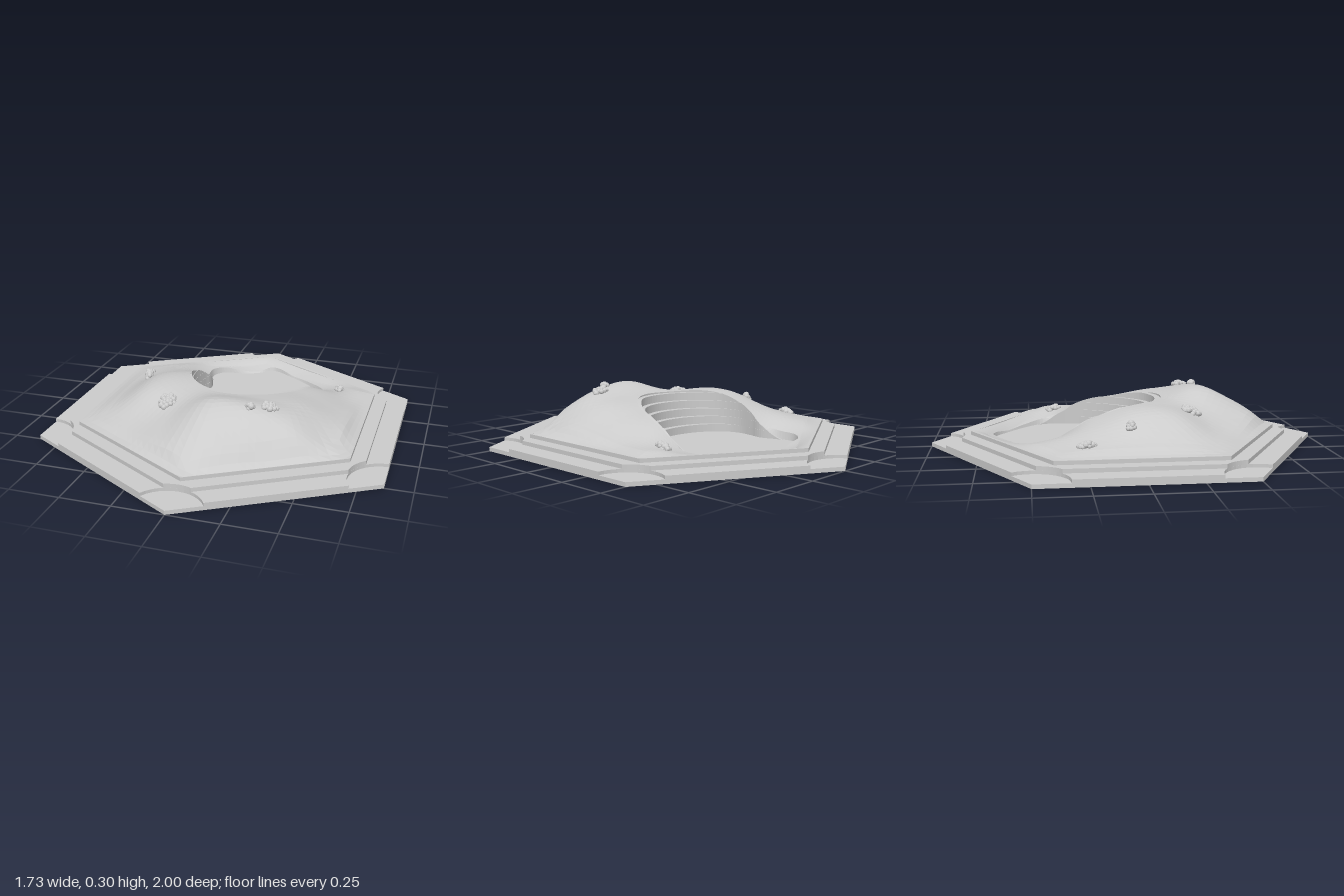
import * as THREE from 'three';

const HEX_R = 0.8, APOTHEM = HEX_R * Math.sqrt(3) / 2;
const GROUND = 0.076, FLOOR = 0.027;
const CENTRE = new THREE.Vector2(0.06, -0.25);
const NORMALS = Array.from({ length: 6 }, (_, k) =>
  new THREE.Vector2(Math.cos(k * Math.PI / 3), Math.sin(k * Math.PI / 3)));

// Hill heights in hundredths, rows z = -0.8..0.8, columns x = -0.8..0.8
const HILLS = [
  [0, 0, 0, 0, 0, 0, 0, 0, 0],
  [0, 0, 0, -2, -5, -4, -0.5, 0, 0],
  [0, 1.2, 3, -2, -5, -5, -1.5, 1.5, 0],
  [0, 2.8, 8, 10, 10, 9, 7.4, 2, 0],
  [0, 3.5, 14, 15.7, 14, 13, 11, 4.5, 0],
  [0, 3, 13.3, 15.4, 16, 16, 14, 5.5, 0],
  [0, 0.8, 4.5, 10.5, 20, 19, 13, 2.2, 0],
  [0, 0, 0, 5, 11.8, 8, 0.5, 0, 0],
  [0, 0, 0, 0, 0, 0, 0, 0, 0],
];

function spline(a, b, c, d, t) {
  return b + 0.5 * t * (c - a + t * (2 * a - 5 * b + 4 * c - d + t * (3 * (b - c) + d - a)));
}

// Smooth hill height that fades out at the hexagon's edge
function groundHeight(x, z) {
  const gx = (x + 0.8) / 0.2, gz = (z + 0.8) / 0.2;
  const ix = Math.floor(gx), iz = Math.floor(gz);
  const at = (r, c) => HILLS[THREE.MathUtils.clamp(r, 0, 8)][THREE.MathUtils.clamp(c, 0, 8)];
  const row = (r) => spline(at(r, ix - 1), at(r, ix), at(r, ix + 1), at(r, ix + 2), gx - ix);
  const h = spline(row(iz - 1), row(iz), row(iz + 1), row(iz + 2), gz - iz);
  const edge = Math.min(...NORMALS.map((n) => APOTHEM - n.x * x - n.y * z));
  return Math.max(FLOOR, GROUND + 0.01 * h * THREE.MathUtils.clamp(edge / 0.07, 0, 1));
}

// Skin a series of closed loops, ordered from the inside out
function loft(loops) {
  const n = loops[0].length, index = [];
  for (let k = 0; k < loops.length - 1; k++) {
    for (let i = 0; i < n; i++) {
      const j = (i + 1) % n, a = k * n + i, b = k * n + j;
      index.push(a, b, a + n, b, b + n, a + n);
    }
  }
  const geometry = new THREE.BufferGeometry().setFromPoints(loops.flat());
  geometry.setIndex(index);
  geometry.computeVertexNormals();
  return geometry;
}

const hexPoints = (radius) => Array.from({ length: 6 }, (_, k) => {
  const a = Math.PI / 2 + k * Math.PI / 3;
  return new THREE.Vector2(radius * Math.cos(a), radius * Math.sin(a));
});

// Hexagon outline with round bites centred on the corners of the unit hexagon
function bittenHexPoints(radius, bite) {
  const gap = 1 - radius;
  const t = (-gap + Math.sqrt(4 * bite * bite - 3 * gap * gap)) / 2;
  const half = Math.atan2(t * Math.sqrt(3) / 2, gap + t / 2);
  return hexPoints(1).flatMap((corner) => Array.from({ length: 13 }, (_, s) => {
    const b = corner.angle() + Math.PI + half * (1 - s / 6);
    return new THREE.Vector2(corner.x + bite * Math.cos(b), corner.y + bite * Math.sin(b));
  }));
}

function plate(points, bottom, top, holeRadius) {
  const shape = new THREE.Shape(points);
  if (holeRadius) shape.holes.push(new THREE.Path(hexPoints(holeRadius)));
  const geometry = new THREE.ExtrudeGeometry(shape, { depth: top - bottom, bevelEnabled: false });
  return geometry.rotateX(-Math.PI / 2).translate(0, bottom, 0);
}

export function createModel() {
  const model = new THREE.Group();
  const material = new THREE.MeshStandardMaterial({ color: 0xcccccc });
  const faceted = new THREE.MeshStandardMaterial({ color: 0xcccccc, flatShading: true });
  const add = (name, geometry, mat = material, parent = model) => {
    const mesh = new THREE.Mesh(geometry, mat);
    mesh.name = name;
    parent.add(mesh);
    return mesh;
  };

  // Stepped tile, hollow above the base so the quarry can sink into it
  const hole = HEX_R - 0.015;
  add('basePlate', plate(hexPoints(1), 0, 0.02));
  add('notchedPlate', plate(bittenHexPoints(1, 0.17), 0.02, 0.036, hole));
  add('middleStep', plate(bittenHexPoints(0.88, 0.17), 0.036, 0.056, hole));
  add('topStep', plate(hexPoints(HEX_R), 0.056, 0.075, hole));

  // Rim of the quarry, from the back around the +x side; it sinks to the floor at the back
  const outline = [
    [0.04, -0.68], [0.09, -0.67], [0.18, -0.61], [0.3, -0.52], [0.385, -0.42], [0.393, -0.3],
    [0.375, -0.18], [0.33, -0.05], [0.26, 0.07], [0.17, 0.155], [0.06, 0.19], [-0.07, 0.17],
    [-0.17, 0.1], [-0.235, 0], [-0.258, -0.12], [-0.248, -0.25], [-0.235, -0.34], [-0.258, -0.42],
    [-0.268, -0.51], [-0.225, -0.57], [-0.12, -0.588], [-0.03, -0.62],
  ].map(([x, z]) => new THREE.Vector3(x, 0, z));
  const rim = new THREE.CatmullRomCurve3(outline, true).getPoints(132).slice(0, -1);
  rim.forEach((p) => {
    const cut = THREE.MathUtils.smoothstep(p.z, -0.46, -0.34);
    p.y = THREE.MathUtils.lerp(FLOOR, groundHeight(p.x, p.z), cut);
  });

  // Hills between the rim and the tile edge
  const edge = rim.map((p) => {
    const dir = new THREE.Vector2(p.x, p.z).sub(CENTRE).normalize();
    let reach = Infinity;
    for (const n of NORMALS) {
      const d = n.dot(dir);
      if (d > 1e-6) reach = Math.min(reach, (APOTHEM - n.dot(CENTRE)) / d);
    }
    return new THREE.Vector3(CENTRE.x + dir.x * reach, GROUND, CENTRE.y + dir.y * reach);
  });
  const rings = [rim];
  for (let k = 1; k <= 16; k++) {
    rings.push(rim.map((p, i) => {
      const q = p.clone().lerp(edge[i], k / 16);
      q.y = groundHeight(q.x, q.z);
      return q;
    }));
  }
  add('hills', loft(rings), faceted);

  // Terraces: vertical faces and flat treads, deepest at the front
  const STEPS = 5, RISE = 0.04;
  const inset = (k, y) => rim.map((p) => {
    const s = 1 - k / STEPS;
    const z = p.z > -0.3 ? -0.3 + (p.z + 0.3) * (1 - 0.34 * s) : p.z;
    return new THREE.Vector3(CENTRE.x + (p.x - CENTRE.x) * (1 - 0.03 * s), Math.min(y, p.y), z);
  });
  const terraces = [];
  for (let k = 0; k <= STEPS; k++) {
    terraces.push(inset(k, FLOOR + k * RISE));
    terraces.push(k < STEPS ? inset(k, FLOOR + (k + 1) * RISE) : rim);
  }
  add('quarryTerraces', loft(terraces), faceted);

  // Flat quarry floor
  const floorEdge = inset(0, FLOOR);
  const middle = floorEdge.map(() => new THREE.Vector3(CENTRE.x, FLOOR, CENTRE.y));
  add('quarryFloor', loft([middle, floorEdge]), faceted);

  // Bushes: clusters of small lumps [x, z, half width, half depth, lumps]
  const lump = new THREE.IcosahedronGeometry(0.015, 1);
  let seed = 7;
  const random = () => (seed = (seed * 16807) % 2147483647) / 2147483647;
  const bushes = [
    [-0.25, 0.3, 0.04, 0.045, 22], [0.285, 0.335, 0.034, 0.034, 15], [0.205, 0.39, 0.015, 0.015, 8],
    [0.505, -0.36, 0.015, 0.04, 14], [-0.568, -0.245, 0.016, 0.04, 14], [-0.482, -0.03, 0.015, 0.015, 8],
  ];
  for (const [x, z, w, d, count] of bushes) {
    const bush = new THREE.Group();
    bush.name = 'bush';
    for (let i = 0; i < count; i++) {
      const a = i * 2.4, r = Math.sqrt((i + 0.5) / count);
      const px = x + w * r * Math.cos(a), pz = z + d * r * Math.sin(a);
      const leaf = add('bushLump', lump, faceted, bush);
      leaf.position.set(px, groundHeight(px, pz) - 0.004 + 0.016 * (1 - r * r) + 0.008 * random(), pz);
      leaf.scale.setScalar(0.75 + 0.4 * random());
    }
    model.add(bush);
  }
  return model;
}
